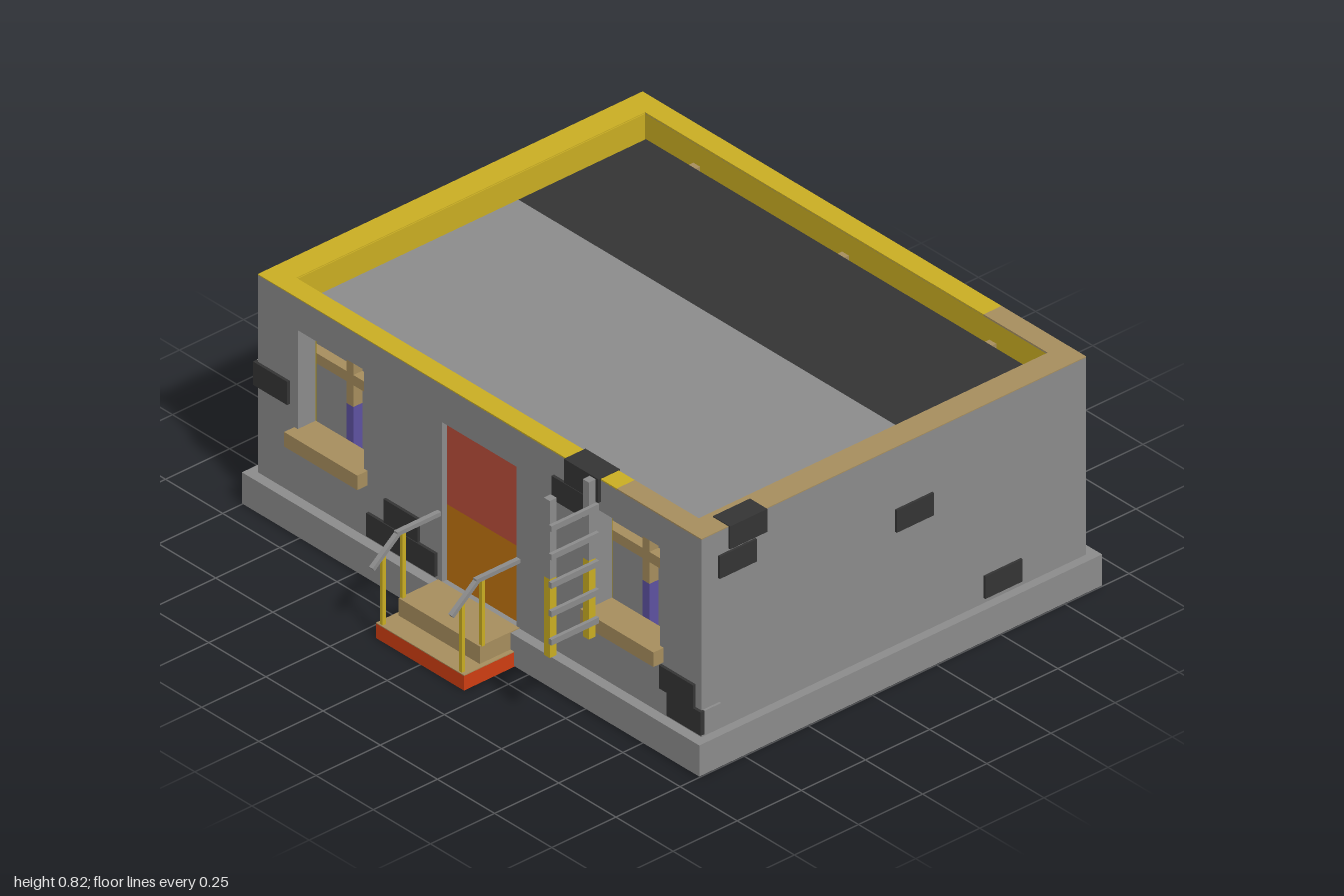
import * as THREE from 'three';

const mat = (name, color, side = THREE.FrontSide) => {
  const m = new THREE.MeshStandardMaterial({ color, side });
  m.name = name;
  return m;
};

export function createModel() {
  const root = new THREE.Group();
  root.name = 'house';
  const grey = mat('concrete grey', 0x8d8d8d);
  const dark = mat('dark brick', 0x353535);
  const yellow = mat('yellow', 0xcbaf23, THREE.DoubleSide);
  const tan = mat('tan wood', 0xa88f5e);
  const red = mat('step red', 0xd03e12);
  const doorRed = mat('door red', 0xbc4e3b);
  const orange = mat('door orange', 0xc2740f);
  const purple = mat('purple', 0x5e52a2);

  const add = (name, geo, material, parent = root) => {
    const m = new THREE.Mesh(geo, material);
    m.name = name;
    parent.add(m);
    return m;
  };
  // Box given by its limits on each axis
  const box = (name, material, x0, x1, y0, y1, z0, z1, parent) => {
    const m = add(name, new THREE.BoxGeometry(x1 - x0, y1 - y0, z1 - z0), material, parent);
    m.position.set((x0 + x1) / 2, (y0 + y1) / 2, (z0 + z1) / 2);
    return m;
  };
  const B = 0.003; // ground clearance of the house above the lowest step face

  // Front and back walls with openings
  const rect = (C, x0, x1, y0, y1) => {
    const s = new C();
    s.moveTo(x0, y0).lineTo(x1, y0).lineTo(x1, y1).lineTo(x0, y1).closePath();
    return s;
  };
  const wall = (name, holes, z0, zInner) => {
    const s = rect(THREE.Shape, -0.97, 0.97, B, 0.788);
    s.holes = holes.map(h => rect(THREE.Path, ...h));
    add(name, new THREE.ExtrudeGeometry(s, { depth: 0.07, bevelEnabled: false }), grey).position.z = z0;
    add(name + 'Lining', new THREE.ShapeGeometry(s), yellow).position.z = zInner;
  };
  const windowHole = x => [x - 0.145, x + 0.145, 0.335, 0.68];
  const frontX = [-0.65, 0.645], backX = [-0.65, 0, 0.645];
  wall('frontWall', [...frontX.map(windowHole), [-0.165, 0.162, 0.11, 0.66]], 0.57, 0.567);
  wall('backWall', backX.map(windowHole), -0.86, -0.787);

  // Side walls with yellow lining
  for (const s of [-1, 1]) {
    const a = s * 0.88, b = s * 0.97, c = s * 0.877;
    box('sideWall', grey, Math.min(a, b), Math.max(a, b), B, 0.788, -0.79, 0.57);
    box('sideWallLining', yellow, Math.min(a, c), Math.max(a, c), B, 0.788, -0.787, 0.567);
  }

  // Caps on the top and bottom edges of the walls
  for (const [y0, y1] of [[0.786, 0.791], [0.001, 0.005]]) {
    box('leftCap', yellow, -0.97, -0.88, y0, y1, -0.86, 0.64);
    box('rightCap', tan, 0.88, 0.97, y0, y1, -0.86, 0.64);
    for (const z of [-0.86, 0.57]) {
      box('longCap', yellow, -0.88, 0.6, y0, y1, z, z + 0.07);
      box('longCapEnd', tan, 0.6, 0.88, y0, y1, z, z + 0.07);
    }
  }

  // Plinth ring
  box('plinthFront', grey, -1, 1, B, 0.11, 0.64, 0.675);
  box('plinthBack', grey, -1, 1, B, 0.11, -0.895, -0.86);
  box('plinthLeft', grey, 0.97, 1, B, 0.11, -0.86, 0.64);
  box('plinthRight', grey, -1, -0.97, B, 0.11, -0.86, 0.64);

  // Inner core carrying the flat roof
  box('core', [grey, grey, grey, dark, grey, grey].map((m, i) => (i === 3 ? dark : m)),
    -0.84, 0.84, B, 0.727, -0.757, 0.53);
  box('roofDark', dark, -0.84, 0.84, 0.727, 0.731, -0.757, -0.26);
  box('roofGrey', grey, -0.84, 0.84, 0.727, 0.731, -0.26, 0.53);

  // Windows: cross bars behind the opening and an outer sill
  const makeWindow = (x, front) => {
    const g = new THREE.Group();
    g.name = 'window';
    root.add(g);
    const [z0, z1] = front ? [0.531, 0.566] : [-0.786, -0.758];
    box('transom', tan, x - 0.225, x + 0.225, 0.535, 0.57, z0, z1, g);
    box('mullionTop', tan, x - 0.015, x + 0.015, 0.57, 0.72, z0, z1, g);
    box('mullionMiddle', tan, x - 0.015, x + 0.015, 0.46, 0.535, z0, z1, g);
    box('mullionBottom', purple, x - 0.015, x + 0.015, 0.3, 0.46, z0, z1, g);
    const [s0, s1] = front ? [0.57, 0.68] : [-0.905, -0.79];
    box('sill', tan, x - 0.16, x + 0.16, 0.29, 0.34, s0, s1, g);
  };
  frontX.forEach(x => makeWindow(x, true));
  backX.forEach(x => makeWindow(x, false));

  // Door
  box('doorFrame', tan, -0.2, 0.2, 0.08, 0.7, 0.531, 0.566);
  box('doorUpper', doorRed, -0.165, 0.162, 0.37, 0.66, 0.566, 0.62);
  box('doorLower', orange, -0.165, 0.162, 0.11, 0.37, 0.566, 0.62);

  // Steps
  box('lowerStep', red, -0.195, 0.19, 0, 0.05, 0.53, 0.87);
  box('lowerTread', tan, -0.195, 0.19, 0.05, 0.053, 0.675, 0.87);
  box('upperStep', tan, -0.18, 0.175, 0.053, 0.113, 0.641, 0.795);

  // Handrails
  for (const x of [-0.176, 0.17]) {
    const g = new THREE.Group();
    g.name = 'handrail';
    root.add(g);
    box('outerPost', yellow, x - 0.006, x + 0.006, 0.05, 0.29, 0.854, 0.866, g);
    box('innerPost', yellow, x - 0.006, x + 0.006, 0.11, 0.34, 0.776, 0.788, g);
    box('levelRail', grey, x - 0.008, x + 0.008, 0.336, 0.35, 0.64, 0.81, g);
    const slope = add('slopedRail', new THREE.BoxGeometry(0.016, 0.014, 0.13), grey, g);
    slope.position.set(x, 0.301, 0.852);
    slope.rotation.x = Math.atan2(0.08, 0.1);
  }

  // Ladder
  for (const z of [0.683, 0.835]) {
    box('ladderRailTop', grey, 0.53, 0.556, 0.55, 0.82, z, z + 0.027);
    box('ladderRailBottom', yellow, 0.53, 0.556, 0.28, 0.55, z, z + 0.027);
  }
  for (let i = 0; i < 5; i++) {
    const y = 0.34 + i * 0.0975;
    box('ladderRung', grey, 0.556, 0.568, y - 0.01, y + 0.01, 0.68, 0.866);
  }

  // Exposed bricks: [start, bottom] on each wall, mostly 0.15 by 0.08
  const front = [[-0.98, 0.41], [-0.41, 0.205], [-0.485, 0.122], [-0.335, 0.122], [0.325, 0.63],
    [0.795, 0.2], [0.828, 0.122]];
  front.forEach(([x, y]) => box('frontBrick', dark, x, x + 0.15, y, y + 0.08, 0.635, 0.65));
  box('frontTopBrick', dark, 0.38, 0.53, 0.712, 0.794, 0.566, 0.65);

  const left = [[0.43, 0.63], [-0.26, 0.5], [-0.605, 0.128]];
  left.forEach(([z, y]) => box('leftBrick', dark, 0.965, 0.978, y, y + 0.077, z, z + 0.145));
  box('leftTopBrick', dark, 0.902, 0.978, 0.715, 0.794, 0.39, 0.535);
  box('leftCornerBrick', grey, 0.965, 0.978, 0.122, 0.202, 0.57, 0.636);

  const back = [[0.79, 0.7], [0.36, 0.24], [0.32, 0.16], [-0.91, 0.2], [-0.83, 0.122], [-0.98, 0.122]];
  back.forEach(([x, y]) => box('backBrick', grey, x, x + 0.15, y, y + 0.08, -0.87, -0.855));

  const right = [[-0.385, 0.7], [0.29, 0.205], [0.25, 0.125], [-0.46, 0.122]];
  right.forEach(([z, y]) => box('rightBrick', grey, -0.98, -0.965, y, y + 0.08, z, z + 0.15));
  box('rightCornerBrick', grey, -0.981, -0.965, 0.41, 0.49, 0.56, 0.634);

  return root;
}
